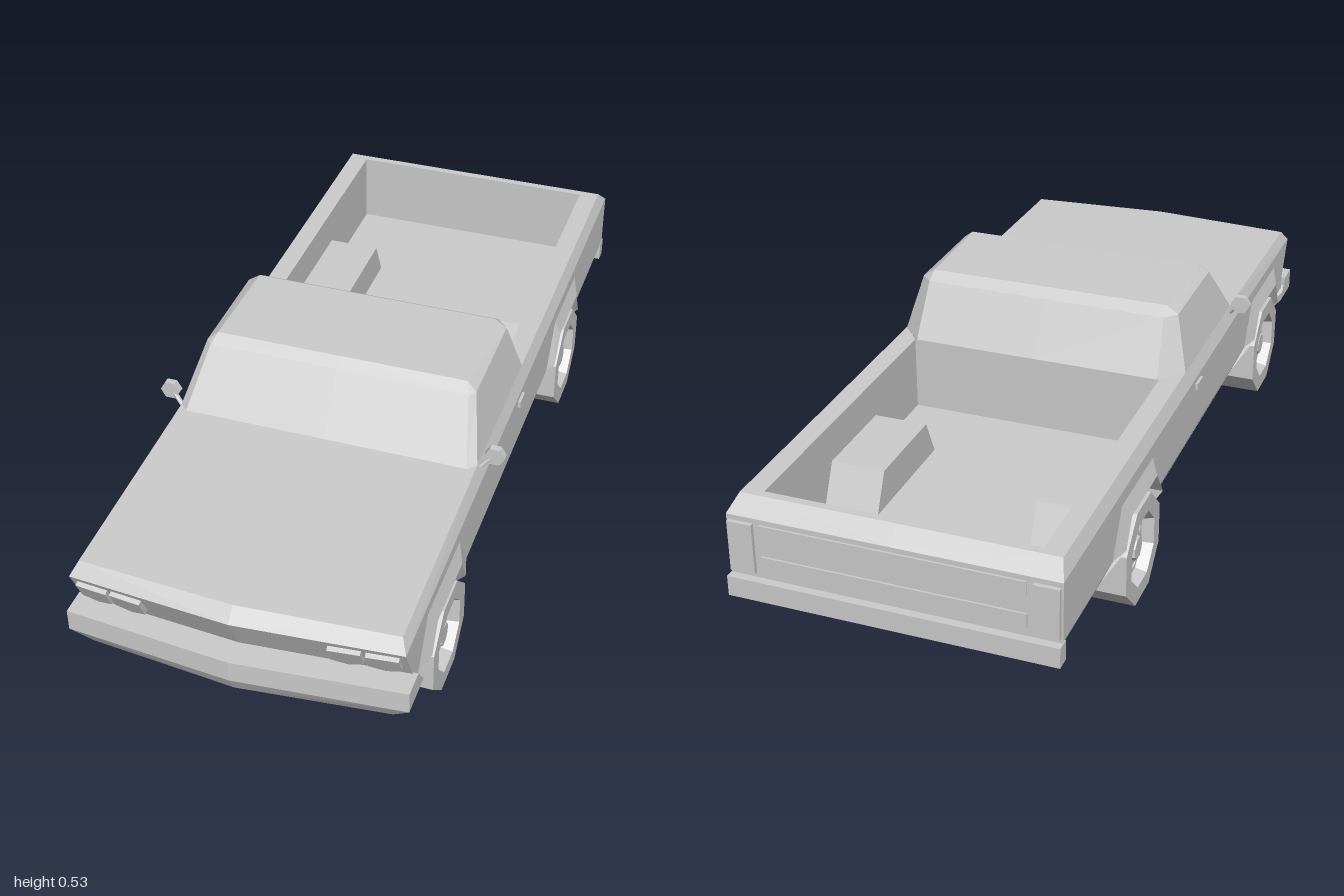
import * as THREE from 'three';

const mat = new THREE.MeshStandardMaterial({ color: 0xcccccc, flatShading: true, side: THREE.DoubleSide });
const V = (p) => new THREE.Vector3(...p);

// Mirrored panels: each polygon [x,y,z]... faces away from ref (sign 1) or towards it (sign -1)
function panels(name, polys, ref, sign = 1) {
  const pos = [];
  for (const poly of polys) {
    const n = new THREE.Vector3(), mid = new THREE.Vector3();
    poly.forEach((p, i) => {
      n.add(V(p).cross(V(poly[(i + 1) % poly.length])));
      mid.add(V(p).divideScalar(poly.length));
    });
    if (n.dot(mid.sub(V(ref))) * sign < 0) n.negate();
    const a = n.toArray().map(Math.abs);
    const drop = a.indexOf(Math.max(...a));
    const flat = poly.map((p) => new THREE.Vector2(...p.filter((_, i) => i !== drop)));
    for (const tri of THREE.ShapeUtils.triangulateShape(flat, [])) {
      let [p, q, r] = tri.map((i) => poly[i]);
      if (V(q).sub(V(p)).cross(V(r).sub(V(p))).dot(n) < 0) [q, r] = [r, q];
      pos.push(...p, ...q, ...r);
      for (const c of [p, r, q]) pos.push(-c[0], c[1], c[2]);
    }
  }
  const g = new THREE.BufferGeometry();
  g.setAttribute('position', new THREE.Float32BufferAttribute(pos, 3));
  g.computeVertexNormals();
  return named(name, g);
}

function named(name, geo, x = 0, y = 0, z = 0) {
  const m = new THREE.Mesh(geo, mat);
  m.name = name;
  m.position.set(x, y, z);
  return m;
}

// Half width of the body: upright above the crease, tucked in below it
const halfWidth = (y) => (y >= 0.2 ? 0.39 : 0.39 - (0.2 - y) * 0.45);
const onSide = (pts) => pts.map(([z, y]) => [halfWidth(y), y, z]);

// Rod between two points
function rod(name, a, b, r, sides = 6) {
  const d = V(b).sub(V(a));
  const m = named(name, new THREE.CylinderGeometry(r, r, d.length(), sides));
  m.position.copy(V(a).add(V(b)).multiplyScalar(0.5));
  m.quaternion.setFromUnitVectors(new THREE.Vector3(0, 1, 0), d.normalize());
  return m;
}

// Wheel arch: flared lip plus the lining that runs inwards to innerX
function arch(name, open, outer, innerX, ref) {
  const edge = open.map(([z, y]) => [y < 0.2 ? halfWidth(y) : 0.405, y, z]);
  const lining = [];
  for (let i = 0; i < edge.length - 1; i++) {
    const [a, b] = [edge[i], edge[i + 1]];
    lining.push([a, b, [innerX, b[1], b[2]], [innerX, a[1], a[2]]]);
  }
  if (innerX > 0) lining.push(open.map(([z, y]) => [innerX, y, z]));
  const lip = edge.filter((p) => p[1] >= 0.2), rim = onSide(outer), flare = [];
  for (let i = 0; i < 3; i++) flare.push([rim[i], rim[i + 1], lip[i + 1], lip[i]]);
  return [panels(name + 'ArchLining', lining, ref, -1), panels(name + 'Flare', flare, [0, 0.1, ref[2]])];
}

function wheel(name, side, z) {
  const profile = [[0, -0.0635], [0.136, -0.0635], [0.136, 0.0635], [0.092, 0.0635], [0.084, 0.035],
    [0.072, 0.035], [0.066, 0.022], [0.052, 0.022], [0.046, 0.042], [0.032, 0.042], [0.028, 0.052], [0, 0.052]];
  const geo = new THREE.LatheGeometry(profile.map((p) => new THREE.Vector2(...p)), 8, Math.PI / 8);
  const m = named(name, geo, side * 0.3415, 0.126, z);
  m.rotation.z = -side * Math.PI / 2;
  return m;
}

export function createModel() {
  const truck = new THREE.Group();
  truck.name = 'pickupTruck';
  const C = [0, 0.25, 0];

  // Wheel arch outlines as [z, y]
  const frontOpen = [[0.49, 0.11], [0.538, 0.2], [0.575, 0.27], [0.767, 0.27], [0.806, 0.2], [0.84, 0.14]];
  const frontOuter = [[0.48, 0.2], [0.545, 0.31], [0.795, 0.31], [0.86, 0.2]];
  const rearOpen = [[-0.33, 0.11], [-0.33, 0.2], [-0.38, 0.27], [-0.57, 0.27], [-0.6075, 0.2], [-0.645, 0.13]];
  const rearOuter = [[-0.3, 0.2], [-0.37, 0.31], [-0.6, 0.31], [-0.66, 0.2]];
  truck.add(...arch('front', frontOpen, frontOuter, 0, [0, 0.1, 0.665]));
  truck.add(...arch('rear', rearOpen, rearOuter, 0.27, [0.34, 0.13, -0.478]));

  // Body sides
  truck.add(panels('bodySides', [
    onSide([[-0.98, 0.2], ...[...rearOuter].reverse(), ...frontOuter, [0.905, 0.2], [0.905, 0.235], [0.955, 0.335],
      [0.375, 0.345], [-0.98, 0.345]]),
    onSide([[-0.98, 0.2], [-0.6075, 0.2], [-0.645, 0.13], [-0.98, 0.145]]),
    onSide([[-0.33, 0.2], [0.538, 0.2], [0.49, 0.11], [-0.33, 0.11]]),
    onSide([[0.806, 0.2], [0.92, 0.2], [0.92, 0.135], [0.84, 0.14]]),
    [[0.39, 0.345, -0.98], [0.375, 0.38, -0.94], [0.375, 0.38, 0.375], [0.39, 0.345, 0.375]],
    [[0.375, 0.38, 0.375], [0.375, 0.365, 0.93], [0.39, 0.335, 0.955], [0.39, 0.345, 0.375]],
  ], C));

  // Hood, its front lip and the grille
  truck.add(panels('hood', [
    [[0, 0.38, 0.34], [0.375, 0.38, 0.34], [0.375, 0.365, 0.93], [0, 0.367, 0.955]],
    [[0, 0.367, 0.955], [0.375, 0.365, 0.93], [0.39, 0.335, 0.955], [0, 0.335, 0.985]],
  ], C));
  truck.add(panels('grille', [
    [[0, 0.335, 0.985], [0.39, 0.335, 0.955], [0.39, 0.235, 0.905], [0, 0.235, 0.935]],
  ], C));

  // Front bumper, bent at the middle
  truck.add(panels('frontBumper', [
    [[0, 0.235, 1], [0.402, 0.235, 0.965], [0.402, 0.18, 0.965], [0, 0.18, 1]],
    [[0, 0.18, 1], [0.402, 0.18, 0.965], [0.358, 0.133, 0.94], [0, 0.133, 0.975]],
    [[0.402, 0.235, 0.965], [0.402, 0.235, 0.9], [0.402, 0.18, 0.86], [0.402, 0.18, 0.965]],
    [[0.402, 0.18, 0.965], [0.402, 0.18, 0.86], [0.358, 0.133, 0.84], [0.358, 0.133, 0.94]],
    [[0, 0.235, 1], [0.402, 0.235, 0.965], [0.402, 0.235, 0.9], [0, 0.235, 0.9]],
    [[0, 0.133, 0.975], [0.358, 0.133, 0.94], [0.358, 0.133, 0.84], [0, 0.133, 0.84]],
  ], [0, 0.19, 0.9]));

  // Underside
  truck.add(panels('underside', [
    [[0, 0.11, 0.49], [0.35, 0.11, 0.49], [0.35, 0.11, -0.33], [0, 0.11, -0.33]],
    [[0, 0.11, -0.33], [0.27, 0.11, -0.33], [0.27, 0.13, -0.645], [0, 0.13, -0.645]],
    [[0, 0.13, -0.645], [0.358, 0.13, -0.645], [0.365, 0.145, -0.98], [0, 0.145, -0.98]],
  ], C));

  // Cab: windshield, pillars, sides, chamfered rear corners and roof
  const ws0 = [0.355, 0.38, 0.375], ws1 = [0.325, 0.515, 0.272], ap0 = [0.375, 0.38, 0.355], ap1 = [0.34, 0.515, 0.255];
  const bp0 = [0.375, 0.38, -0.06], bp1 = [0.34, 0.515, -0.02], rw0 = [0.32, 0.38, -0.12], rw1 = [0.312, 0.515, -0.05];
  const rf = [0.315, 0.535, 0.245], rb = [0.31, 0.535, -0.02];
  const mid = (p) => [0, p[1], p[2]];
  truck.add(panels('cab', [
    [mid(ws0), ws0, ws1, mid(ws1)], [ws0, ap0, ap1, ws1], [ap0, bp0, bp1, ap1], [bp0, rw0, rw1, bp1],
    [rw0, mid(rw0), mid(rw1), rw1], [mid(ws1), ws1, rf, mid(rf)], [ws1, ap1, rf], [ap1, bp1, rb, rf],
    [bp1, rw1, rb], [rw1, mid(rw1), mid(rb), rb], [mid(rf), rf, rb, mid(rb)],
  ], [0, 0.42, 0.12]));

  // Load bed: rails and tailgate outside, walls and floor inside
  const x = 0.325, f = 0.19, t = 0.38, z0 = -0.12, z1 = -0.92;
  truck.add(panels('bedRails', [
    [[x, t, z0], [x, t, z1], [0.375, t, -0.94], [0.375, t, -0.06]],
    [[0, t, z1], [x, t, z1], [0.375, t, -0.94], [0, t, -0.94]],
  ], C));
  truck.add(panels('tailgate', [
    [[0, t, -0.94], [0.375, t, -0.94], [0.39, 0.345, -0.98], [0, 0.345, -0.98]],
    [[0, 0.345, -0.98], [0.39, 0.345, -0.98], [0.39, 0.2, -0.98], [0.365, 0.145, -0.98], [0, 0.145, -0.98]],
  ], C));
  truck.add(panels('bedInterior', [
    [[x, t, z0], [x, t, z1], [x, f, z1], [x, f, z0]],
    [[0, t, z0], [x, t, z0], [x, f, z0], [0, f, z0]],
    [[0, t, z1], [x, t, z1], [x, f, z1], [0, f, z1]],
    [[0, f, z0], [x, f, z0], [x, f, z1], [0, f, z1]],
  ], [0, 0.3, -0.5], -1));

  // Wheel tubs standing in the bed
  const tub = [[-0.32, f], [-0.365, 0.285], [-0.605, 0.285], [-0.65, f]];
  const tubFaces = [tub.map(([z, y]) => [0.19, y, z])];
  for (let i = 0; i < 3; i++) {
    const [[za, ya], [zb, yb]] = [tub[i], tub[i + 1]];
    tubFaces.push([[0.19, ya, za], [x, ya, za], [x, yb, zb], [0.19, yb, zb]]);
  }
  truck.add(panels('wheelTubs', tubFaces, [0.26, 0.2, -0.485]));

  // Rear bumper and tailgate ribs
  truck.add(named('rearBumper', new THREE.BoxGeometry(0.78, 0.05, 0.035), 0, 0.17, -0.9825));
  for (const y of [0.235, 0.315]) {
    truck.add(named('tailgateRib', new THREE.BoxGeometry(0.62, 0.035, 0.008), 0, y, -0.981));
  }

  // Headlight: square top with a pointed lower edge
  const lamp = new THREE.Shape([[-0.037, 0.035], [0.037, 0.035], [0.037, -0.022], [0, -0.036], [-0.037, -0.022]]
    .map((p) => new THREE.Vector2(...p)));
  const lampGeo = new THREE.ExtrudeGeometry(lamp, { depth: 0.012, bevelEnabled: false });

  for (const s of [-1, 1]) {
    for (const hx of [0.253, 0.337]) {
      const light = named('headlight', lampGeo, s * hx, 0.288, 0.961 - hx * 0.078);
      light.rotation.set(0.46, s * 0.078, 0);
      truck.add(light);
    }
    truck.add(named('tailLight', new THREE.BoxGeometry(0.06, 0.125, 0.014), s * 0.355, 0.27, -0.983));
    truck.add(named('doorHandle', new THREE.BoxGeometry(0.012, 0.016, 0.045), s * 0.391, 0.323, 0.005));

    // Door mirror on its stalk
    truck.add(rod('mirrorStalk', [s * 0.372, 0.36, 0.345], [s * 0.412, 0.405, 0.33], 0.006));
    const mirror = named('mirror', new THREE.CylinderGeometry(0.025, 0.025, 0.018, 6), s * 0.411, 0.401, 0.33);
    mirror.rotation.set(Math.PI / 2, Math.PI / 6, 0);
    truck.add(mirror);

    truck.add(rod('exhaustPipe', [s * 0.3, 0.14, -0.69], [s * 0.3, 0.106, -0.8], 0.01));
    truck.add(wheel('frontWheel', s, 0.665), wheel('rearWheel', s, -0.478));
  }
  return truck;
}
